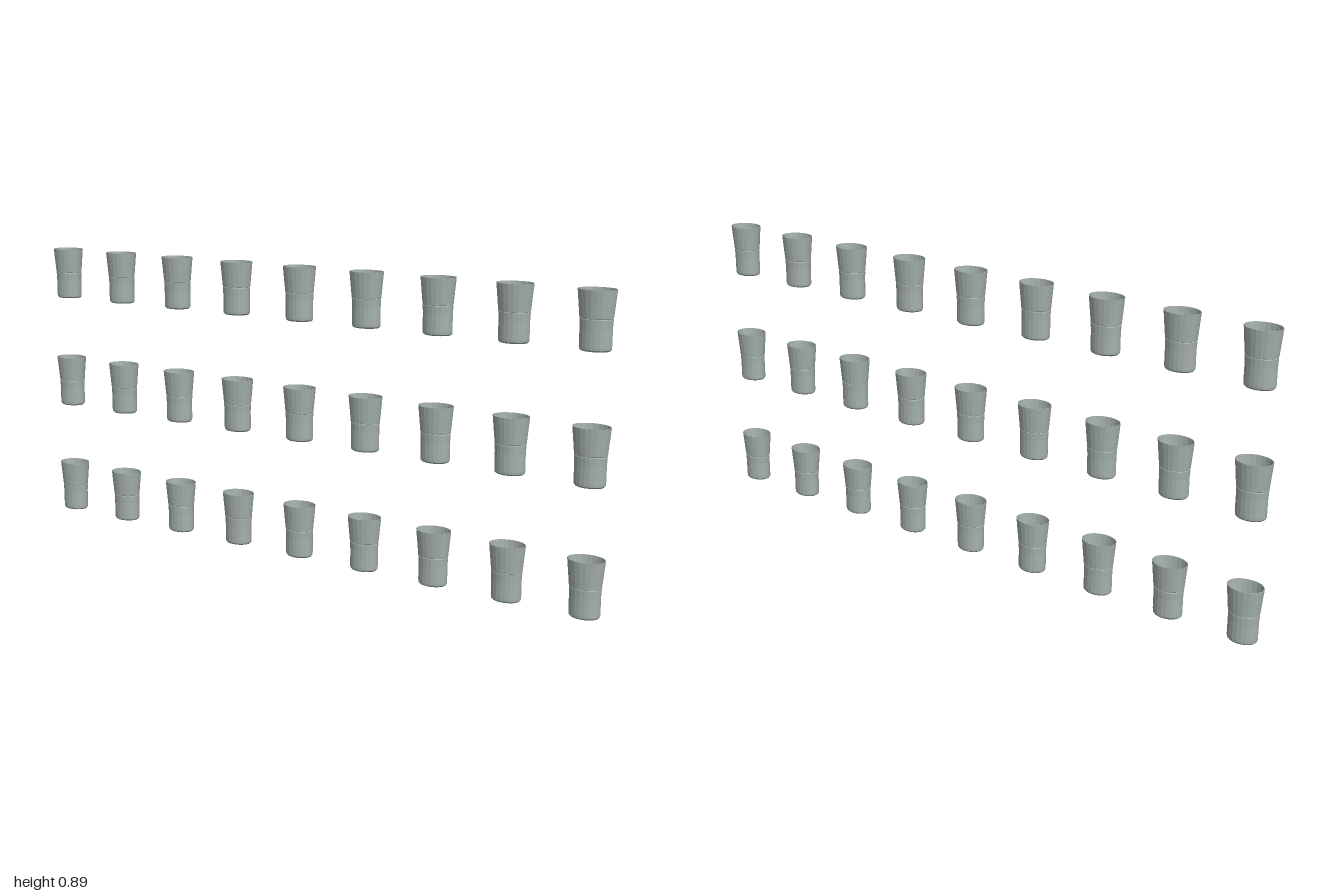
import * as THREE from 'three';

export function createModel() {
  const model = new THREE.Group();
  model.name = 'cupArray';
  const greyGreen = new THREE.MeshStandardMaterial({ color: 0xa5b1ac, flatShading: true, side: THREE.DoubleSide });
  greyGreen.name = 'greyGreen';

  // Profile: base, chamfered foot, straight lower body, fine groove, flared top, inner wall, floor
  const profile = [
    [0, 0], [0.031, 0], [0.034, 0.004], [0.0345, 0.01], [0.0345, 0.06], [0.0355, 0.083],
    [0.0347, 0.084], [0.0347, 0.085], [0.0357, 0.086],
    [0.0415, 0.161], [0.0403, 0.161], [0.0345, 0.085], [0.0333, 0.06], [0.0333, 0.01], [0.031, 0.004], [0, 0.004],
  ].map(([r, y]) => new THREE.Vector2(r, y));

  // Oval cross-section, wider along x
  const cup = new THREE.LatheGeometry(profile, 20);
  cup.scale(0.053 / 0.0415, 1, 1);

  // Three rows of nine cups
  for (let row = 0; row < 3; row++) {
    const group = new THREE.Group();
    group.name = 'cupRow' + (row + 1);
    group.position.y = row * 0.3625;
    for (let col = 0; col < 9; col++) {
      const mesh = new THREE.Mesh(cup, greyGreen);
      mesh.name = 'cup' + (col + 1);
      mesh.position.x = (col - 4) * 0.23675;
      group.add(mesh);
    }
    model.add(group);
  }
  return model;
}
